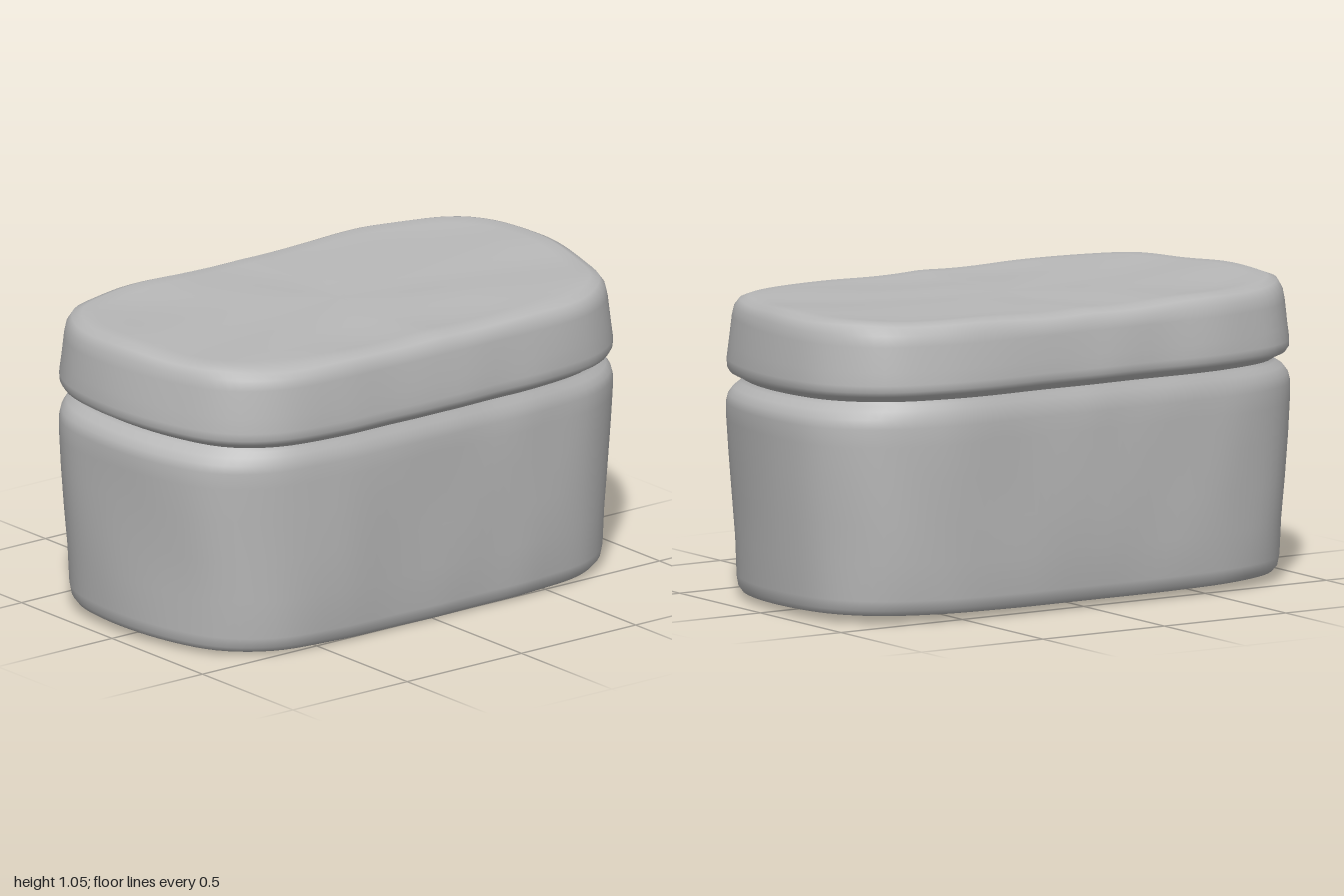
import * as THREE from 'three';

const SEG = 128;
const HALF_X = 0.585, HALF_Z = 1.0;

// Half of the plan outline (x, z), mirrored in z: one end corner is slightly fuller
const half = [[0.58, 0.2], [0.578, 0.45], [0.535, 0.71], [0.42, 0.87], [0.22, 0.955],
  [-0.1, 0.998], [-0.33, 0.965], [-0.49, 0.84], [-0.57, 0.62], [-0.585, 0.25]];
const outline = new THREE.CatmullRomCurve3(
  [...half, ...half.map(([x, z]) => [x, -z]).reverse()].map(([x, z]) => new THREE.Vector3(x, 0, z)),
  true).getSpacedPoints(SEG).slice(0, SEG);

// Wall profiles: height, inset in x, inset in z
const bodyProfile = [
  [0, 0.585, 1.0], [0, 0.3, 0.4], [0, 0.1, 0.085], [0.006, 0.065, 0.055], [0.025, 0.048, 0.043],
  [0.06, 0.039, 0.038], [0.2, 0.03, 0.033], [0.35, 0.025, 0.022], [0.5, 0.021, 0.012],
  [0.62, 0.018, 0.004], [0.68, 0.018, 0.001], [0.71, 0.022, 0.008], [0.735, 0.03, 0.028],
  [0.752, 0.038, 0.056], [0.765, 0.042, 0.064]];
const lidProfile = [
  [0.765, 0.042, 0.064], [0.777, 0.028, 0.046], [0.788, 0.01, 0.022], [0.805, 0.001, 0.012],
  [0.83, 0, 0.011], [0.88, 0.005, 0.017], [0.97, 0.014, 0.027], [1.005, 0.022, 0.034],
  [1.028, 0.04, 0.05], [1.04, 0.07, 0.08], [1.039, 0.12, 0.13], [1.033, 0.2, 0.23],
  [1.03, 0.32, 0.45], [1.03, 0.45, 0.72], [1.03, 0.585, 1.0]];

// Hand-shaped unevenness: gentle dents, tilted seam, sagging base, raised lid ends
function wobble(p) {
  const { x, y, z } = p, az = Math.abs(z);
  const top = THREE.MathUtils.smoothstep(y, 0.99, 1.03);
  const low = 1 - THREE.MathUtils.smoothstep(y, 0, 0.4);
  const seam = Math.exp(-(((y - 0.77) / 0.12) ** 2));
  const dent = Math.sin(9 * az + 7 * y + 3 * x) * 0.5 + Math.sin(17 * az - 11 * y + 5 * x) * 0.3;
  p.x += 0.005 * dent * (x / HALF_X);
  p.z += 0.003 * Math.sin(8 * x + 9 * y) * (z / HALF_Z);
  p.y += low * (0.01 - 0.018 * x + 0.012 * z * z)
    - seam * 0.025 * x
    + top * (0.012 * z * z - 0.014 * x * x - 0.01 * x + 0.003 * Math.sin(11 * az + 6 * x) + 0.003 * Math.sin(14 * x - 5 * az));
  return p;
}

// Skin stacked scaled outlines, closed where the inset reaches the middle
function loft(name, profile, material) {
  const pos = [], index = [];
  for (const [y, ix, iz] of profile)
    for (const o of outline)
      pos.push(...wobble(new THREE.Vector3(o.x * (1 - ix / HALF_X), y, o.z * (1 - iz / HALF_Z))).toArray());
  for (let k = 0; k < profile.length - 1; k++)
    for (let i = 0; i < SEG; i++) {
      const j = (i + 1) % SEG;
      const a = k * SEG + i, b = k * SEG + j, c = a + SEG, d = b + SEG;
      if (profile[k + 1][1] < HALF_X) index.push(a, c, d);
      else index.push(a, c, b);
      if (profile[k][1] < HALF_X && profile[k + 1][1] < HALF_X) index.push(a, d, b);
    }
  const geo = new THREE.BufferGeometry();
  geo.setAttribute('position', new THREE.Float32BufferAttribute(pos, 3));
  geo.setIndex(index);
  geo.computeVertexNormals();
  // Shared normal for the collapsed centre ring
  profile.forEach(([y, ix], k) => {
    if (ix < HALF_X) return;
    for (let i = 0; i < SEG; i++) geo.attributes.normal.setXYZ(k * SEG + i, 0, y > 0.5 ? 1 : -1, 0);
  });
  const mesh = new THREE.Mesh(geo, material);
  mesh.name = name;
  return mesh;
}

export function createModel() {
  const clay = new THREE.MeshStandardMaterial({ color: 0xb8b8b8 });
  clay.name = 'grey clay';
  const group = new THREE.Group();
  group.name = 'liddedBox';
  group.add(loft('boxBody', bodyProfile, clay), loft('lid', lidProfile, clay));
  return group;
}
